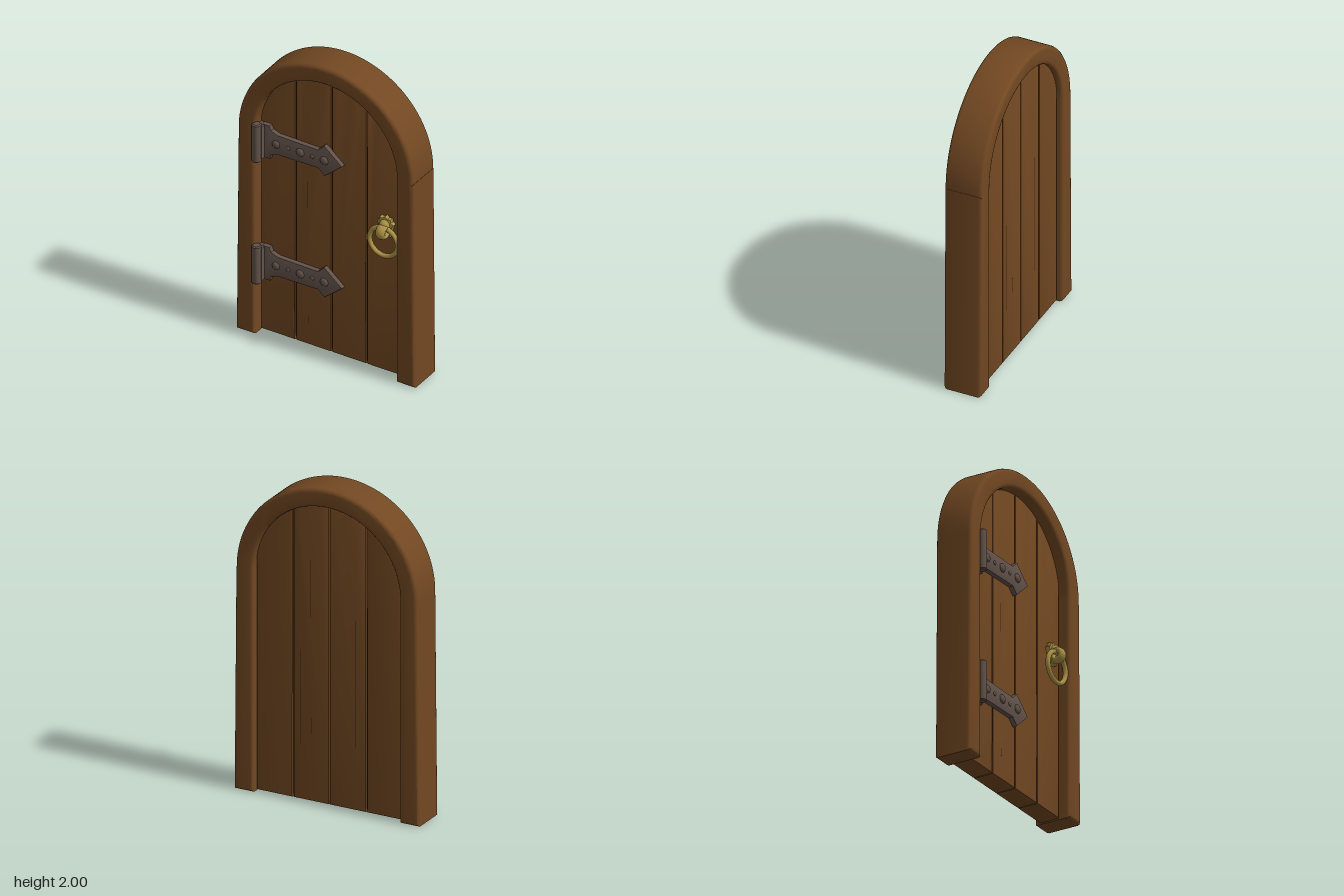
import * as THREE from 'three';
import { toCreasedNormals } from 'three/addons/utils/BufferGeometryUtils.js';

const mat = (name, color) => {
  const m = new THREE.MeshStandardMaterial({ color });
  m.name = name;
  return m;
};
const SPRING = 1.4; // height where the arch begins

// Bevelled slab that keeps the outline's size, from z0 to z1
function slab(shape, z0, z1, bevel, segments = 3, curveSegments = 32) {
  const g = new THREE.ExtrudeGeometry(shape, {
    depth: z1 - z0 - 2 * bevel, bevelEnabled: bevel > 0, bevelSize: bevel,
    bevelThickness: bevel, bevelOffset: -bevel, bevelSegments: segments, curveSegments,
  });
  g.translate(0, 0, z0 + bevel);
  return toCreasedNormals(g, 0.6);
}

// Vertical board whose top follows the arch of radius r
function archBoard(x0, x1, y0, r) {
  const pts = [new THREE.Vector2(x0, y0), new THREE.Vector2(x1, y0)];
  const n = 14;
  for (let i = 0; i <= n; i++) {
    const x = x1 + (x0 - x1) * i / n;
    pts.push(new THREE.Vector2(x, SPRING + Math.sqrt(Math.max(0, r * r - x * x))));
  }
  return new THREE.Shape(pts);
}

export function createModel() {
  const wood = mat('wood', 0x724822);
  const seam = mat('dark seam', 0x3a2410);
  const iron = mat('iron', 0x62524a);
  const brass = mat('brass', 0xab9145);

  const model = new THREE.Group();
  model.name = 'archedDoor';
  const add = (parent, name, geometry, material, x = 0, y = 0, z = 0) => {
    const m = new THREE.Mesh(geometry, material);
    m.name = name;
    m.position.set(x, y, z);
    parent.add(m);
    return m;
  };

  // Arched frame, slightly wider at its feet
  const f = new THREE.Shape();
  f.moveTo(0.485, 0);
  f.lineTo(0.613, 0);
  f.lineTo(0.602, SPRING);
  f.absarc(0, SPRING, 0.6, 0, Math.PI, false);
  f.lineTo(-0.613, 0);
  f.lineTo(-0.485, 0);
  f.lineTo(-0.485, SPRING);
  f.absarc(0, SPRING, 0.485, Math.PI, 0, true);
  f.lineTo(0.485, 0);
  add(model, 'frame', slab(f, -0.137, 0.105, 0.022), wood);

  // Dark core seen only through the gaps between planks
  add(model, 'core', slab(archBoard(-0.495, 0.495, 0.025, 0.497), -0.085, 0.022, 0), seam);

  // Planks
  const edges = [-0.485, -0.247, 0, 0.24, 0.485];
  for (let i = 0; i < 4; i++) {
    const board = archBoard(edges[i] + 0.003, edges[i + 1] - 0.003, 0.008, 0.495);
    add(model, 'plank', slab(board, -0.1, 0.035, 0.008, 2), wood);
  }

  // Fine cracks in the planks: x, y, length
  const cracks = [[-0.162, 1.04, 0.18], [-0.158, 0.18, 0.05], [-0.255, 0.35, 0.3], [0.232, 0.5, 0.4]];
  for (const [x, y, len] of cracks) {
    add(model, 'crack', new THREE.BoxGeometry(0.004, len, 0.002), seam, x, y, 0.035);
    add(model, 'backCrack', new THREE.BoxGeometry(0.004, len * 2, 0.002), seam, -x * 0.75, y + 0.3, -0.1);
  }

  // Strap hinges
  const strap = new THREE.Shape();
  strap.moveTo(-0.455, -0.115);
  for (const [x, y] of [[-0.405, -0.115], [-0.395, -0.085], [-0.35, -0.068], [-0.075, -0.064], [-0.03, -0.105],
    [0.092, 0], [-0.03, 0.105], [-0.075, 0.064], [-0.35, 0.068], [-0.395, 0.085], [-0.405, 0.115], [-0.455, 0.115]]) {
    strap.lineTo(x, y);
  }
  const strapGeo = slab(strap, 0.03, 0.066, 0.008, 2);
  const knuckleGeo = toCreasedNormals(new THREE.LatheGeometry([[0, -0.13], [0.022, -0.13], [0.029, -0.123],
    [0.029, 0.123], [0.022, 0.13], [0, 0.13]].map(([x, y]) => new THREE.Vector2(x, y)), 20), 0.6);
  for (const y of [1.332, 0.492]) {
    const hinge = new THREE.Group();
    hinge.name = 'hinge';
    hinge.position.y = y;
    model.add(hinge);
    add(hinge, 'strap', strapGeo, iron);
    add(hinge, 'knuckle', knuckleGeo, iron, -0.472, 0, 0.1);
    add(hinge, 'knuckleLeaf', new THREE.BoxGeometry(0.04, 0.22, 0.06), iron, -0.46, 0, 0.065);
    for (const [x, r] of [[-0.36, 0.026], [-0.195, 0.028], [-0.03, 0.028], [-0.278, 0.014], [-0.112, 0.014]]) {
      const rivet = add(hinge, 'rivet', new THREE.SphereGeometry(r, 16, 10), iron, x, 0.004, 0.065);
      rivet.scale.z = 0.6;
    }
  }

  // Ring handle with a scalloped crown plate
  const handle = new THREE.Group();
  handle.name = 'handle';
  handle.position.set(0.385, 0, 0);
  model.add(handle);
  add(handle, 'ring', new THREE.TorusGeometry(0.096, 0.015, 12, 40), brass, 0, 0.926, 0.078);
  const plate = new THREE.Shape();
  plate.moveTo(-0.03, 0.95);
  plate.lineTo(0.03, 0.95);
  const lobes = 5;
  for (let i = 0; i <= lobes * 2; i++) {
    const a = -0.1 + (Math.PI + 0.2) * i / (lobes * 2);
    const r = i % 2 ? 0.06 : 0.047;
    plate.lineTo(Math.cos(a) * r, 1.03 + Math.sin(a) * r);
  }
  add(handle, 'crownPlate', slab(plate, 0.03, 0.064, 0.006, 2), brass);
  const clasp = add(handle, 'clasp', new THREE.TorusGeometry(0.03, 0.02, 12, 24), brass, 0, 1.0, 0.085);
  clasp.rotation.y = Math.PI / 2;
  clasp.scale.z = 1.6;
  add(handle, 'claspTop', new THREE.SphereGeometry(0.034, 16, 12), brass, 0, 1.035, 0.065);

  return model;
}
